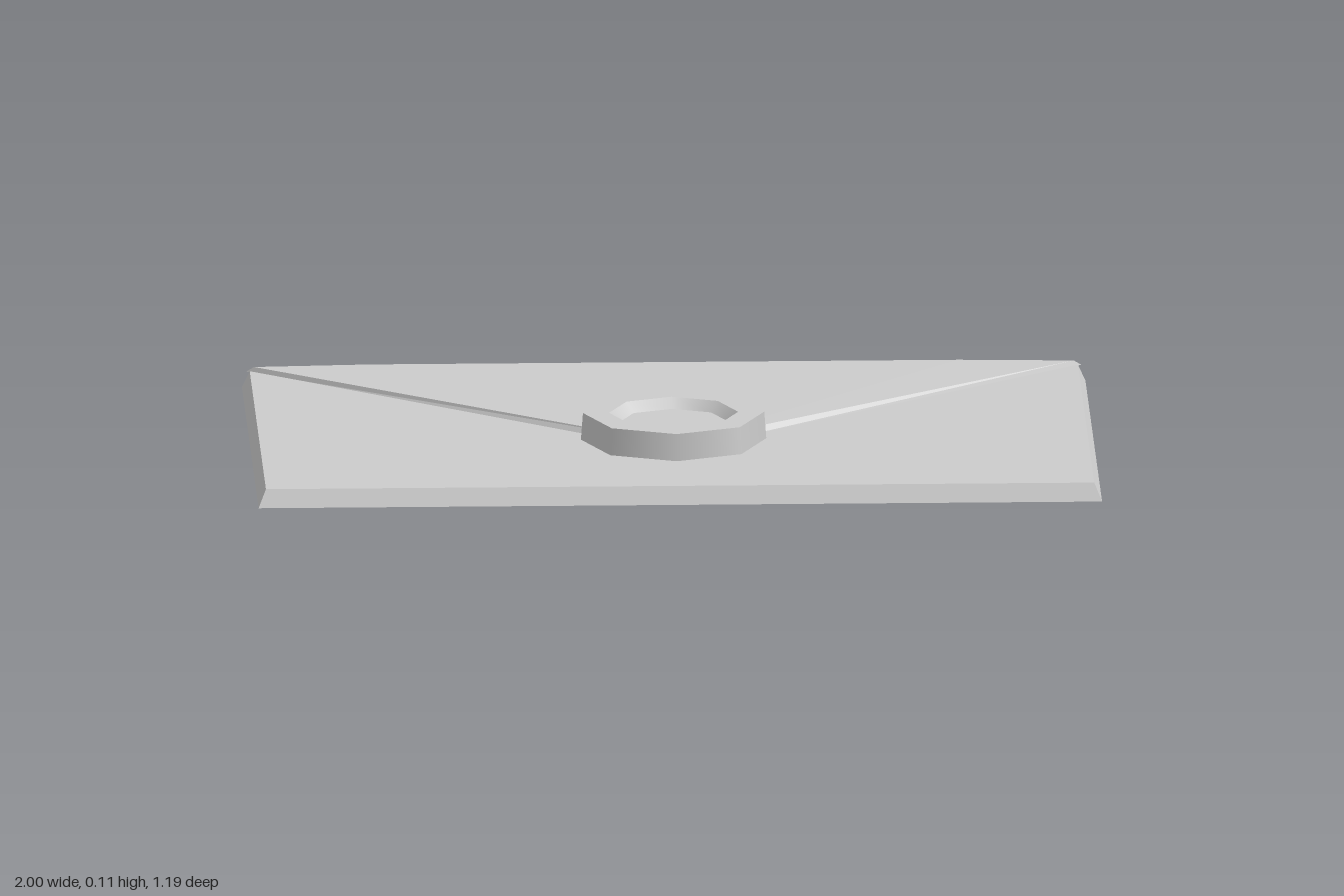
import * as THREE from 'three';

const paper = new THREE.MeshStandardMaterial({ color: 0xcccccc });
paper.name = 'pale grey';

// Closed slab between two rings of [x, y, z] corners, counter-clockwise from above
function slab(name, bottom, top) {
  const pos = [];
  const tri = (...corners) => corners.forEach((c) => pos.push(...c));
  const n = bottom.length;
  for (let i = 0; i < n; i++) {
    const j = (i + 1) % n;
    tri(bottom[i], bottom[j], top[j]);
    tri(bottom[i], top[j], top[i]);
    if (i > 0 && i < n - 1) {
      tri(top[0], top[i], top[j]);
      tri(bottom[0], bottom[j], bottom[i]);
    }
  }
  const geometry = new THREE.BufferGeometry();
  geometry.setAttribute('position', new THREE.Float32BufferAttribute(pos, 3));
  geometry.computeVertexNormals();
  const mesh = new THREE.Mesh(geometry, paper);
  mesh.name = name;
  return mesh;
}

const rectangle = (x, y, z) => [[-x, y, z], [x, y, z], [x, y, -z], [-x, y, -z]];

// Triangular flap outline with a slightly raised middle along the back edge
const flapRing = (x, z, tip, yCorner, yMiddle) => [
  [0, yMiddle, tip],
  [x, yCorner, z],
  [0.7, yMiddle, z],
  [-0.7, yMiddle, z],
  [-x, yCorner, z],
];

// Octagonal seal: each profile segment is its own lathe so the rims stay sharp
function createSeal() {
  const seal = new THREE.Group();
  seal.name = 'seal';
  const profile = [[0.22, 0.04], [0.215, 0.107], [0.153, 0.107], [0.13, 0.083], [0, 0.083]]
    .map(([r, y]) => new THREE.Vector2(r, y));
  ['sealWall', 'sealRim', 'sealRecessWall', 'sealRecessFloor'].forEach((name, i) => {
    const mesh = new THREE.Mesh(new THREE.LatheGeometry([profile[i], profile[i + 1]], 8), paper);
    mesh.name = name;
    seal.add(mesh);
  });
  seal.position.z = 0.116;
  return seal;
}

export function createModel() {
  const model = new THREE.Group();
  model.name = 'envelope';
  model.add(
    slab('envelopeBody', rectangle(1, 0, 0.596), rectangle(0.982, 0.042, 0.578)),
    slab('envelopeFlap',
      flapRing(0.99, -0.588, 0.235, 0.04, 0.04),
      flapRing(0.972, -0.579, 0.218, 0.053, 0.057)),
    createSeal(),
  );
  return model;
}
